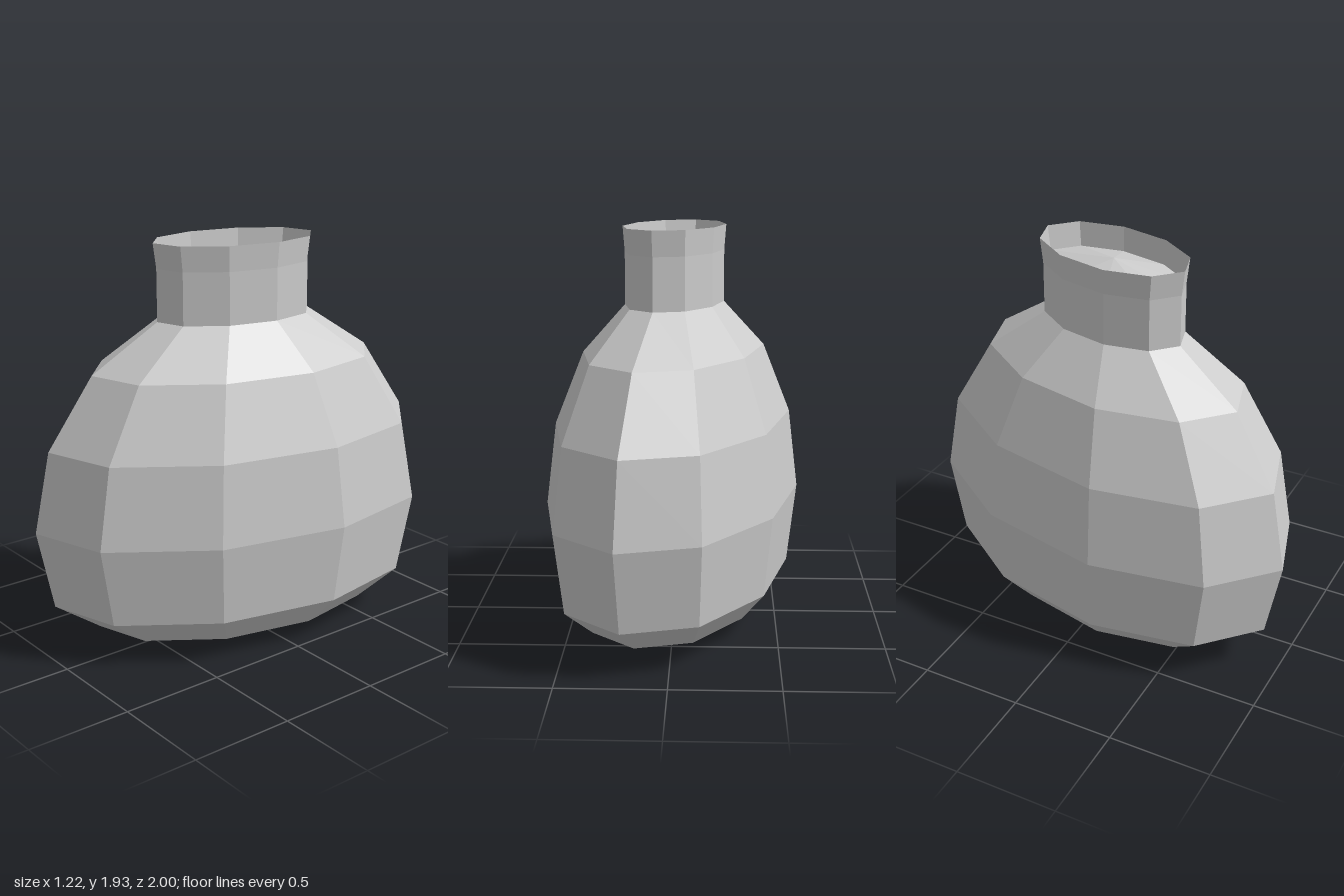
import * as THREE from 'three';

const SIDES = 10;

// Turns a [radius, height] profile, then stretches it into the skewed oval plan.
function skewedLathe(name, profile) {
  const geometry = new THREE.LatheGeometry(profile.map(([r, y]) => new THREE.Vector2(r, y)), SIDES);
  geometry.applyMatrix4(new THREE.Matrix4().set(
    0.568, 0, -0.232, 0,
    0, 1, 0, 0,
    0.134, 0, 1, 0,
    0, 0, 0, 1,
  ));
  geometry.computeVertexNormals();
  const material = new THREE.MeshStandardMaterial({
    color: 0xcccccc, flatShading: true, side: THREE.DoubleSide,
  });
  const mesh = new THREE.Mesh(geometry, material);
  mesh.name = name;
  return mesh;
}

export function createModel() {
  const flask = new THREE.Group();
  flask.name = 'flask';

  // Rounded belly with a flattened base
  flask.add(skewedLathe('belly', [
    [0, 0], [0.385, 0], [0.707, 0.07], [0.924, 0.22], [1, 0.61],
    [0.924, 1.0], [0.707, 1.34], [0.385, 1.56],
  ]));

  // Thin neck with a slightly flared lip
  flask.add(skewedLathe('neck', [[0.385, 1.56], [0.385, 1.81], [0.4, 1.93]]));

  // Shallow raised stopper inside the lip
  flask.add(skewedLathe('stopper', [[0.385, 1.81], [0, 1.88]]));

  return flask;
}
